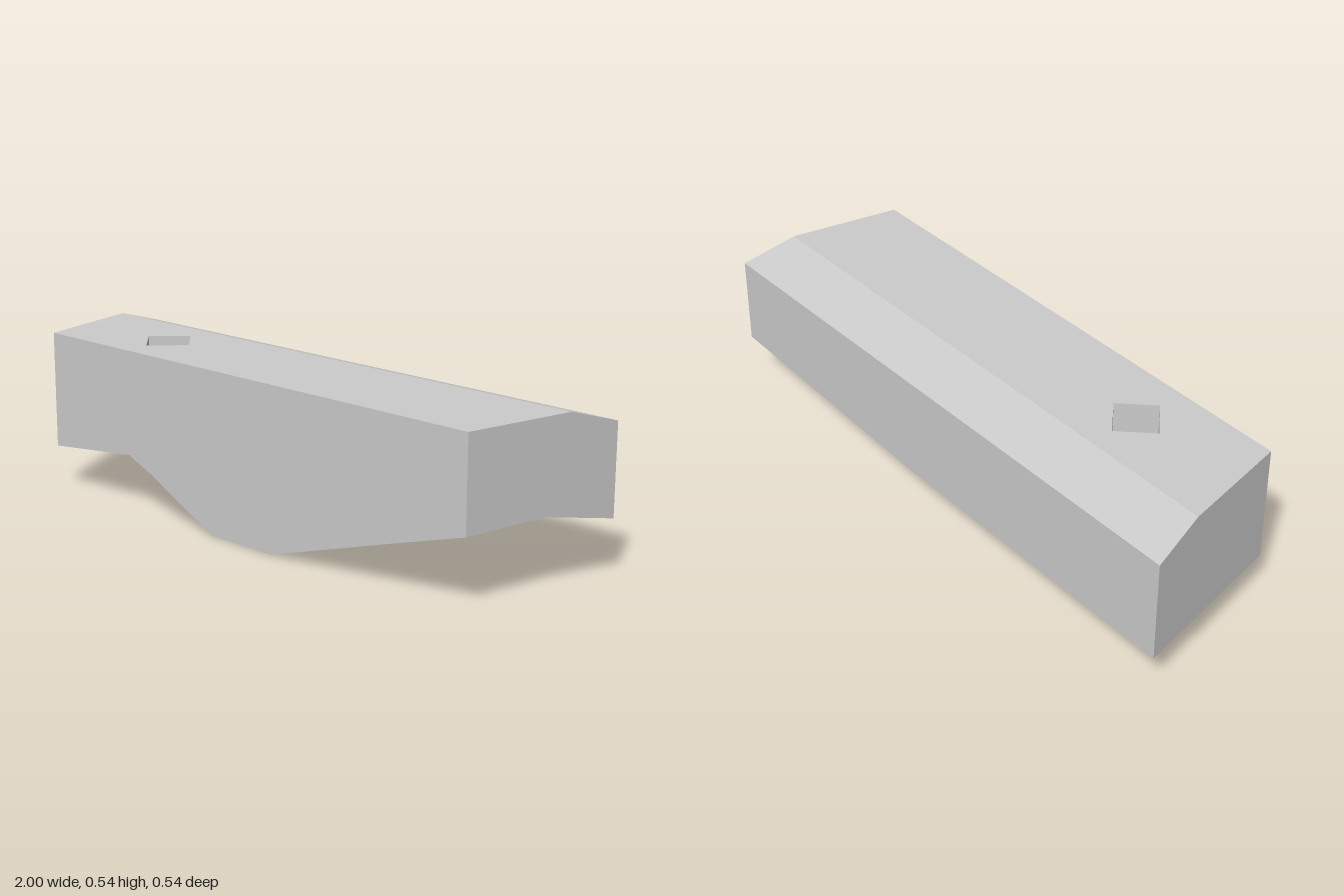
import * as THREE from 'three';

const material = new THREE.MeshStandardMaterial({ color: 0xcccccc, flatShading: true });
const FRONT = 0.272, BACK = -0.272, MID = -0.012, CHAMFER = -0.095, TOP = 0.536;

// half width of the tapering block at depth z
const halfWidth = z => 1 - 0.112 * (z - BACK) / (FRONT - BACK);
const side = (s, y, z) => [s * halfWidth(z), y, z];

// flat polygons fanned into triangles, each turned to face its outward direction
function facets(name, faces) {
  const positions = [];
  for (const [outward, ...points] of faces) {
    const v = points.map(p => new THREE.Vector3(...p));
    const hint = new THREE.Vector3(...outward);
    for (let i = 1; i < v.length - 1; i++) {
      const tri = [v[0], v[i], v[i + 1]];
      const normal = tri[1].clone().sub(tri[0]).cross(tri[2].clone().sub(tri[0]));
      if (normal.dot(hint) < 0) tri.reverse();
      tri.forEach(p => positions.push(p.x, p.y, p.z));
    }
  }
  const geometry = new THREE.BufferGeometry();
  geometry.setAttribute('position', new THREE.Float32BufferAttribute(positions, 3));
  geometry.computeVertexNormals();
  const mesh = new THREE.Mesh(geometry, material);
  mesh.name = name;
  return mesh;
}

function shapeMesh(name, points, hole) {
  const shape = new THREE.Shape(points.map(p => new THREE.Vector2(...p)));
  if (hole) shape.holes.push(new THREE.Path(hole.map(p => new THREE.Vector2(...p))));
  const mesh = new THREE.Mesh(new THREE.ShapeGeometry(shape), material);
  mesh.name = name;
  return mesh;
}

export function createModel() {
  const group = new THREE.Group();
  const up = [0, 1, 0], down = [0, -1, 0], back = [0, 0, -1];

  // lower front outline, from right to left
  const outline = [[-0.888, 0.145], [-0.52, 0.186], [-0.42, 0.145], [-0.13, 0],
    [0.13, 0], [0.6, 0.147], [0.888, 0.235]];
  const frontFace = shapeMesh('frontFace', [...outline, [0.888, TOP], [-0.888, TOP]]);
  frontFace.position.z = FRONT;
  group.add(frontFace);

  // top with a diamond pocket
  const cx = -0.525, cz = 0.085, r = 0.097, floorY = 0.29;
  const diamond = [[cx + r, cz], [cx, cz + r], [cx - r, cz], [cx, cz - r]];
  const wc = halfWidth(CHAMFER);
  const top = shapeMesh('topFace',
    [[-0.888, -FRONT], [0.888, -FRONT], [wc, -CHAMFER], [-wc, -CHAMFER]],
    diamond.map(([x, z]) => [x, -z]));
  top.rotation.x = -Math.PI / 2;
  top.position.y = TOP;
  group.add(top);

  const pocket = diamond.map(([x, z], i) => {
    const [x2, z2] = diamond[(i + 1) % 4];
    return [[2 * cx - x - x2, 0, 2 * cz - z - z2],
      [x, TOP, z], [x2, TOP, z2], [x2, floorY, z2], [x, floorY, z]];
  });
  pocket.push([up, ...diamond.map(([x, z]) => [x, floorY, z])]);
  group.add(facets('diamondPocket', pocket));

  // sloping rear top and rear wall
  const rearL = [1, 0.187, BACK], rearR = [-1, 0.14, BACK], rearKink = [0.086, 0.14, BACK];
  const rearTopL = [1, 0.483, BACK], rearTopR = [-1, 0.483, BACK];
  group.add(facets('rearChamfer', [
    [up, side(1, TOP, CHAMFER), side(-1, TOP, CHAMFER), rearTopR, rearTopL]]));
  group.add(facets('rearWall', [[back, rearKink, rearL, rearTopL, rearTopR, rearR]]));

  // slanted ends
  const midL = side(1, 0.24, MID), midR = side(-1, 0.14, MID);
  const front = outline.map(([x, y]) => [x, y, FRONT]);
  const end = (s, frontPoint, mid, rear, rearTop) => [[s, 0, 0], mid, rear, rearTop,
    side(s, TOP, CHAMFER), side(s, TOP, FRONT), frontPoint];
  group.add(facets('leftEnd', [end(1, front[6], midL, rearL, rearTopL)]));
  group.add(facets('rightEnd', [end(-1, front[0], midR, rearR, rearTopR)]));

  // faceted underside, fanning out from a central vertex
  const hub = [-0.07, 0.14, MID], notch = [-0.73, 0.14, MID];
  const under = [
    [down, hub, rearKink, rearR, midR, notch],
    [down, hub, rearL, rearKink],
    [down, hub, midL, rearL],
    [down, midL, front[6], front[5]],
    [down, hub, front[5], midL],
    [down, hub, notch, front[1]],
    [down, notch, front[0], front[1]],
    [down, notch, midR, front[0]],
  ];
  for (let i = 1; i < 5; i++) under.push([down, hub, front[i], front[i + 1]]);
  group.add(facets('underside', under));
  return group;
}
